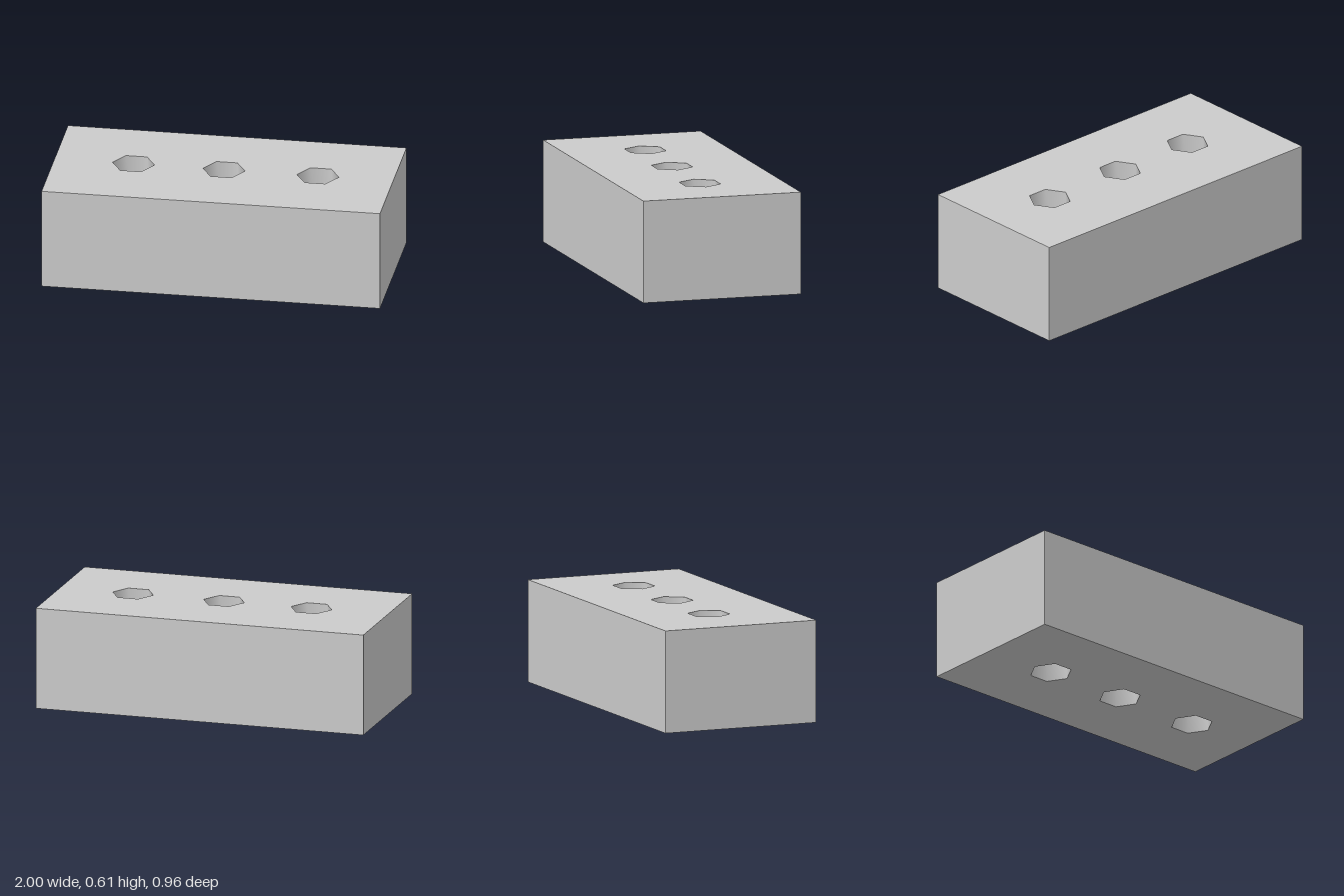
import * as THREE from 'three';
import { toCreasedNormals } from 'three/addons/utils/BufferGeometryUtils.js';

const LENGTH = 2, HEIGHT = 0.605, DEPTH = 0.96;
const HOLE_RADIUS = 0.124;
const HOLE_CENTRES = [-0.534, 0, 0.555];

// Six-sided hole with corners pointing along x
function hexHole(cx) {
  const points = [];
  for (let i = 0; i < 6; i++) {
    const a = (i * Math.PI) / 3;
    points.push(new THREE.Vector2(cx + HOLE_RADIUS * Math.cos(a), HOLE_RADIUS * Math.sin(a)));
  }
  return new THREE.Path(points);
}

export function createModel() {
  const group = new THREE.Group();
  group.name = 'brick';

  // Rectangular outline pierced by the row of holes
  const x = LENGTH / 2, z = DEPTH / 2;
  const outline = new THREE.Shape([
    new THREE.Vector2(-x, -z),
    new THREE.Vector2(x, -z),
    new THREE.Vector2(x, z),
    new THREE.Vector2(-x, z),
  ]);
  outline.holes = HOLE_CENTRES.map(hexHole);

  // Raise the outline upward; hole walls shade smoothly, square edges stay sharp
  const extruded = new THREE.ExtrudeGeometry(outline, { depth: HEIGHT, bevelEnabled: false });
  extruded.rotateX(-Math.PI / 2);
  const geometry = toCreasedNormals(extruded, THREE.MathUtils.degToRad(70));

  const body = new THREE.Mesh(geometry, new THREE.MeshStandardMaterial({ color: 0xcccccc }));
  body.name = 'brickBody';
  group.add(body);
  return group;
}
